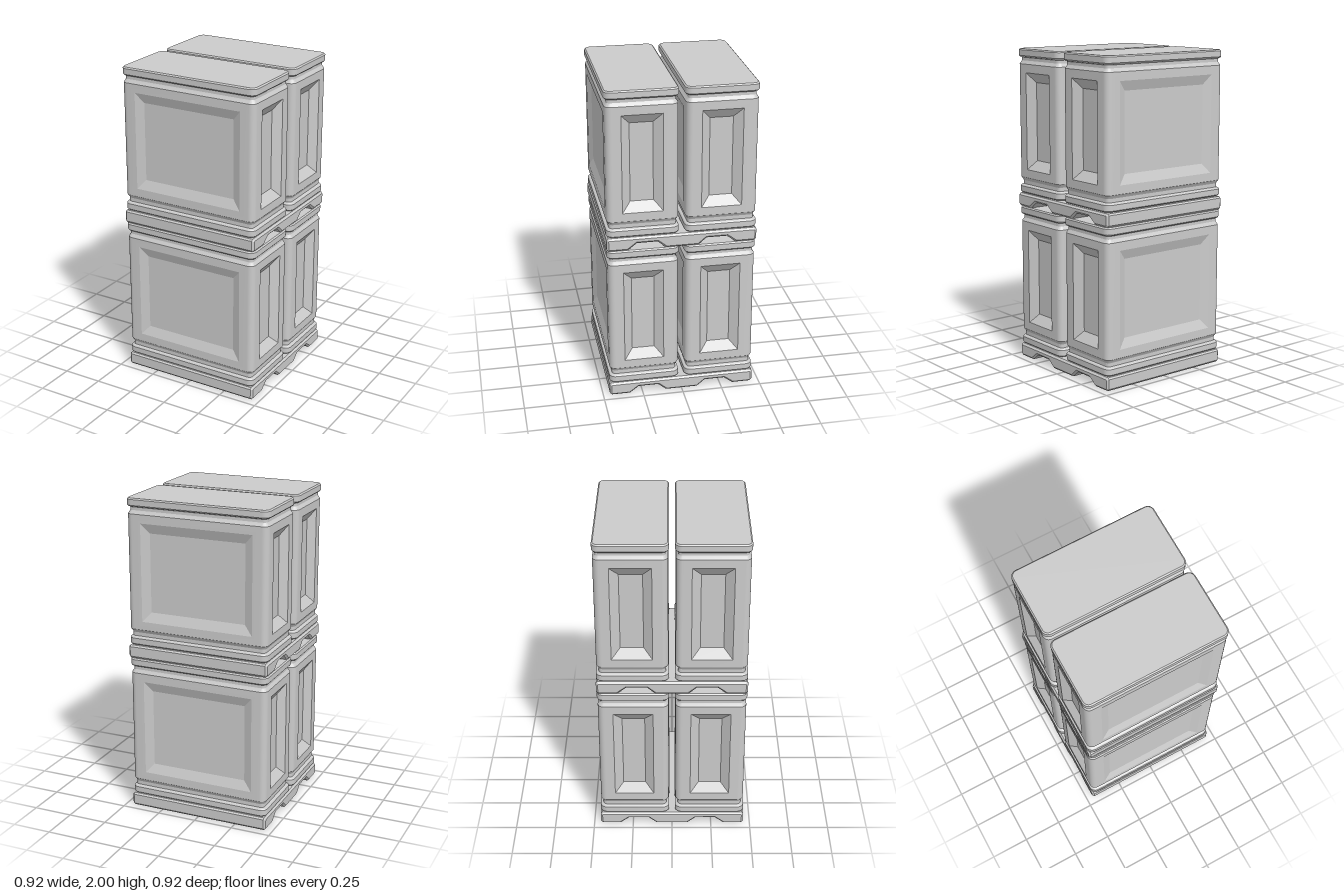
import * as THREE from 'three';
import { toCreasedNormals } from 'three/addons/utils/BufferGeometryUtils.js';

const material = new THREE.MeshStandardMaterial({ color: 0xcccccc });
const HALF_X = 0.457, HALF_Z = 0.2195, CENTRE_Z = 0.2375;
const CORNER = 0.042, STEPS = 6;

// Rounded-rectangle outline, counter-clockwise seen from above
function outline(inset, y) {
  const points = [], r = CORNER - inset;
  for (let k = 0; k < 4; k++) {
    const sx = k === 0 || k === 3 ? 1 : -1, sz = k < 2 ? -1 : 1;
    for (let i = 0; i <= STEPS; i++) {
      const a = (k + i / STEPS) * Math.PI / 2;
      points.push(new THREE.Vector3(
        sx * (HALF_X - CORNER) + r * Math.cos(a), y,
        sz * (HALF_Z - CORNER) - r * Math.sin(a)));
    }
  }
  return points;
}

// Crate section from bottom to top: [inset, height]
const BODY = 7;
const PROFILE = [
  [0.008, 0.09], [0, 0.098], [0, 0.133], [0.006, 0.14],
  [0.018, 0.145], [0.018, 0.168], [0.014, 0.176], [0.004, 0.19],
  [0.004, 0.905], [0.014, 0.919], [0.018, 0.926], [0.018, 0.945],
  [0.006, 0.95], [0, 0.957], [0, 0.992], [0.008, 1.0],
];

function crateGeometry() {
  const pos = [];
  const tri = (...v) => v.forEach(p => pos.push(p.x, p.y, p.z));
  const quad = (a, b, c, d) => { tri(a, b, c); tri(a, c, d); };

  // Wall with a sunken, bevelled panel between two corners
  function panelWall(p, q, top, depth) {
    const u = q.clone().sub(p), half = u.length() / 2;
    u.normalize();
    const n = u.clone().cross(new THREE.Vector3(0, 1, 0));
    const mid = p.clone().add(q).multiplyScalar(0.5);
    const midY = (p.y + top) / 2, halfY = (top - p.y) / 2;
    const rect = (w, h, d) => [[-1, -1], [1, -1], [1, 1], [-1, 1]].map(([s, t]) => {
      const v = mid.clone().addScaledVector(u, s * w).addScaledVector(n, -d);
      v.y = midY + t * h;
      return v;
    });
    const rects = [
      rect(half, halfY, 0),
      rect(half - 0.055, halfY - 0.053, 0),
      rect(half - 0.108, halfY - 0.113, depth),
    ];
    for (let i = 0; i < 2; i++) {
      for (let j = 0; j < 4; j++) {
        const k = (j + 1) % 4;
        quad(rects[i][j], rects[i][k], rects[i + 1][k], rects[i + 1][j]);
      }
    }
    quad(...rects[2]);
  }

  const rings = PROFILE.map(([inset, y]) => outline(inset, y));
  const count = rings[0].length;
  for (let i = 0; i < rings.length - 1; i++) {
    for (let j = 0; j < count; j++) {
      const k = (j + 1) % count, lo = rings[i], hi = rings[i + 1];
      const flat = j % (STEPS + 1) === STEPS;
      if (i === BODY && flat) {
        const alongX = Math.abs(lo[j].x - lo[k].x) > 0.1;
        panelWall(lo[j], lo[k], hi[k].y, alongX ? 0.022 : 0.042);
      } else quad(lo[j], lo[k], hi[k], hi[j]);
    }
  }

  // Flat lid and base
  const bottom = rings[0], lid = rings[rings.length - 1];
  const cb = new THREE.Vector3(0, bottom[0].y, 0), ct = new THREE.Vector3(0, lid[0].y, 0);
  for (let j = 0; j < count; j++) {
    const k = (j + 1) % count;
    tri(cb, bottom[k], bottom[j]);
    tri(ct, lid[j], lid[k]);
  }
  const g = new THREE.BufferGeometry();
  g.setAttribute('position', new THREE.Float32BufferAttribute(pos, 3));
  return toCreasedNormals(g, 0.29);
}

// Pallet section with two fork channels, extruded across the width
function palletGeometry() {
  const half = [
    [0.10, 0], [0.15, 0.042], [0.275, 0.042], [0.33, 0],
    [0.445, 0], [0.458, 0.013], [0.458, 0.074], [0.448, 0.084],
  ];
  const all = [...half, ...half.map(([z, y]) => [-z, y]).reverse()];
  const shape = new THREE.Shape(all.map(([z, y]) => new THREE.Vector2(z, y)));
  const bevel = 0.012;
  const g = new THREE.ExtrudeGeometry(shape, {
    depth: 2 * (0.458 - bevel), bevelEnabled: true, bevelSegments: 1,
    bevelThickness: bevel, bevelSize: bevel, bevelOffset: -bevel,
  });
  g.translate(0, 0, -(0.458 - bevel));
  g.rotateY(-Math.PI / 2);
  return toCreasedNormals(g, 0.29);
}

export function createModel() {
  const model = new THREE.Group();
  model.name = 'stackedCrates';
  const crate = crateGeometry(), pallet = palletGeometry();

  ['lower', 'upper'].forEach((level, i) => {
    const tier = new THREE.Group();
    tier.name = level + 'Tier';
    tier.position.y = i;
    const add = (geometry, name, z) => {
      const mesh = new THREE.Mesh(geometry, material);
      mesh.name = name;
      mesh.position.z = z;
      tier.add(mesh);
    };
    add(pallet, level + 'Pallet', 0);
    add(crate, level + 'FrontCrate', CENTRE_Z);
    add(crate, level + 'BackCrate', -CENTRE_Z);
    model.add(tier);
  });
  return model;
}
